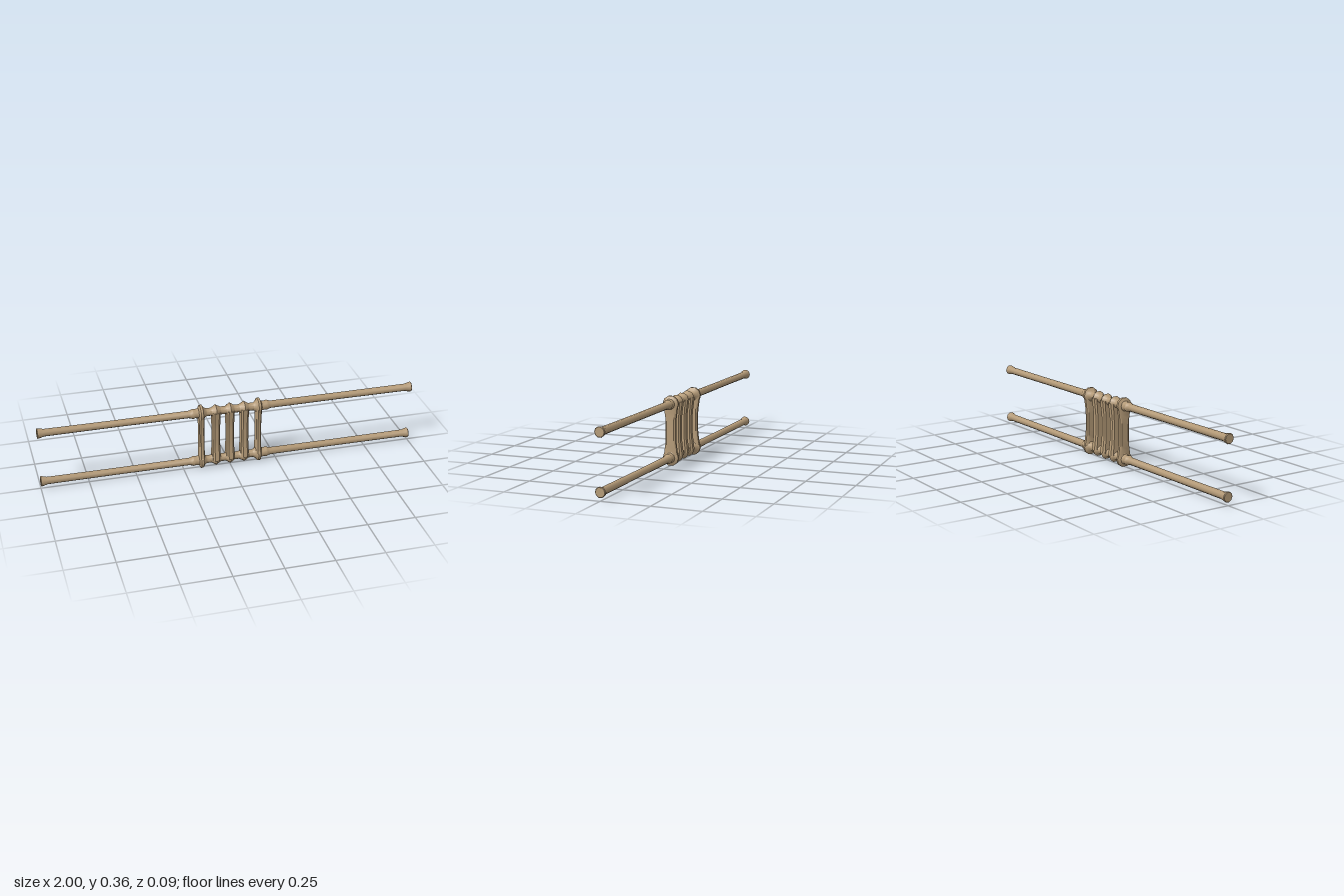
import * as THREE from 'three';
import { toCreasedNormals } from 'three/addons/utils/BufferGeometryUtils.js';

const RAIL_Y = [0.04, 0.32];
const SLAT_X = [-0.153, -0.075, 0, 0.077, 0.153];

// Half of a rail profile, from the middle out to the tip: [x, radius]
const HALF_RAIL = [
  [0, 0.036], [0.009, 0.031], [0.022, 0.021], [0.05, 0.021], [0.066, 0.030],
  [0.076, 0.036], [0.086, 0.030], [0.1, 0.021], [0.125, 0.021], [0.138, 0.028],
  [0.148, 0.043], [0.16, 0.043], [0.168, 0.027], [0.185, 0.024], [0.198, 0.027],
  [0.206, 0.023], [0.22, 0.0195], [0.6, 0.0185], [0.965, 0.0195], [0.985, 0.025],
  [0.997, 0.027], [1, 0.024], [1, 0],
];

// Turned rail lying along x
function railGeometry() {
  const left = HALF_RAIL.slice(1).reverse().map(([x, r]) => new THREE.Vector2(r, -x));
  const right = HALF_RAIL.map(([x, r]) => new THREE.Vector2(r, x));
  const g = new THREE.LatheGeometry([...left, ...right], 10);
  g.rotateZ(-Math.PI / 2);
  return toCreasedNormals(g, 0.75);
}

// Chamfered upright slat, flared where it meets the rails
function slatGeometry(halfX, halfZ) {
  const cx = halfX * 0.55, cz = halfZ * 0.72;
  const shape = new THREE.Shape([
    [halfX, -cz], [halfX, cz], [cx, halfZ], [-cx, halfZ],
    [-halfX, cz], [-halfX, -cz], [-cx, -halfZ], [cx, -halfZ],
  ].map(([x, y]) => new THREE.Vector2(x, y)));
  const height = RAIL_Y[1] - RAIL_Y[0];
  const g = new THREE.ExtrudeGeometry(shape, { depth: height, steps: 12, bevelEnabled: false });
  g.rotateX(-Math.PI / 2);
  const p = g.attributes.position;
  for (let i = 0; i < p.count; i++) {
    const fromEnd = Math.min(p.getY(i), height - p.getY(i));
    const flare = Math.max(0, 1 - fromEnd / 0.085);
    p.setX(i, p.getX(i) * (1 + 0.1 * flare));
    p.setZ(i, p.getZ(i) * (1 + 0.42 * flare));
  }
  return toCreasedNormals(g, 0.6);
}

export function createModel() {
  const model = new THREE.Group();
  model.name = 'railedFrame';
  const wood = new THREE.MeshStandardMaterial({ color: 0xb59b78 });
  wood.name = 'paleWood';

  const rail = railGeometry();
  RAIL_Y.forEach((y, i) => {
    const mesh = new THREE.Mesh(rail, wood);
    mesh.name = i ? 'upperRail' : 'lowerRail';
    mesh.position.y = y;
    model.add(mesh);
  });

  // Outer slats are thinner than the inner ones
  const inner = slatGeometry(0.019, 0.025);
  const outer = slatGeometry(0.0125, 0.027);
  SLAT_X.forEach((x, i) => {
    const mesh = new THREE.Mesh(i === 0 || i === 4 ? outer : inner, wood);
    mesh.name = `slat${i + 1}`;
    mesh.position.set(x, RAIL_Y[0], 0);
    model.add(mesh);
  });
  return model;
}
